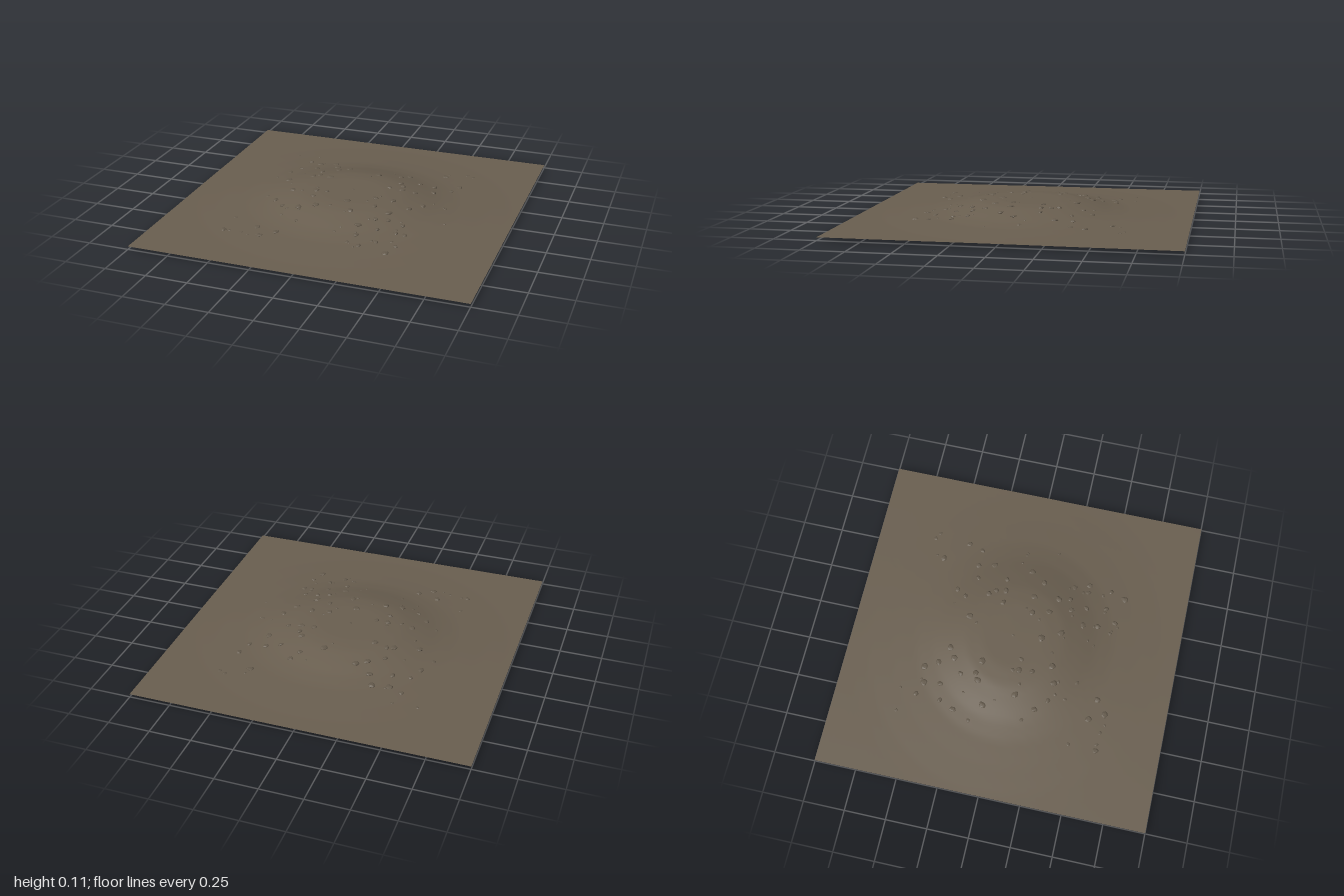
import * as THREE from 'three';

// Mound height profile: [radius, height]
const PROFILE = [[0, 0.115], [0.2, 0.114], [0.3, 0.106], [0.4, 0.085], [0.5, 0.061],
  [0.6, 0.046], [0.75, 0.037], [0.9, 0.031], [1.0, 0.03]];

function groundHeight(x, z) {
  const r = Math.hypot(x * 0.92, z);
  for (let i = 1; i < PROFILE.length; i++) {
    const [r0, h0] = PROFILE[i - 1], [r1, h1] = PROFILE[i];
    if (r < r1) return h0 + (h1 - h0) * (r - r0) / (r1 - r0);
  }
  return 0.03;
}

// Larger stones showing through the soil: x, z pairs
const STONES = [
  -0.47, -0.51, -0.39, -0.48, -0.29, -0.50, -0.38, -0.38, -0.48, -0.36, -0.25, -0.42,
  -0.52, -0.27, -0.30, -0.27, -0.21, -0.33, -0.15, -0.37, -0.28, -0.18, -0.32, -0.16,
  -0.20, -0.16, -0.46, -0.10, -0.21, 0.07, -0.36, 0.08, -0.20, 0.15, -0.42, 0.21,
  -0.14, 0.26, -0.24, 0.29, -0.14, 0.07, -0.35, 0.28, 0.07, -0.30, 0.20, -0.36,
  0.24, -0.42, 0.34, -0.31, 0.43, -0.33, 0.54, -0.33, 0.57, -0.42, 0.44, -0.56,
  0.24, -0.22, 0.27, -0.18, 0.28, -0.12, 0.36, -0.13, 0.45, -0.23, 0.20, -0.12,
  0.17, 0.07, 0.28, 0.06, 0.39, 0.10, 0.45, 0.01, 0.20, 0.17, 0.30, 0.21,
  0.25, 0.30, 0.32, 0.28, 0.41, 0.29, 0.17, 0.39, 0.29, 0.39, 0.40, 0.38,
  0.45, 0.38, 0.32, 0.51, 0.44, 0.52, 0.19, 0.48, 0.24, 0.58, 0.41, 0.61,
  0.08, 0.27, 0.02, 0.16, -0.40, 0.54, -0.58, 0.62, -0.35, 0.63, -0.27, 0.57,
];

function makeRandom(seed) {
  return () => {
    seed = (seed * 16807) % 2147483647;
    return seed / 2147483647;
  };
}

// Irregular pebble with a bumpy outline
function stoneGeometry(seed) {
  const geo = new THREE.IcosahedronGeometry(1, 1);
  const p = geo.attributes.position;
  const v = new THREE.Vector3();
  for (let i = 0; i < p.count; i++) {
    v.fromBufferAttribute(p, i);
    v.multiplyScalar(1 + 0.15 * Math.sin(v.x * 3 + seed) * Math.cos(v.z * 4 + v.y * 2 + seed));
    p.setXYZ(i, v.x, v.y, v.z);
  }
  geo.computeVertexNormals();
  return geo;
}

export function createModel() {
  const model = new THREE.Group();
  const soil = new THREE.MeshStandardMaterial({ color: 0x6a5f50, side: THREE.DoubleSide });
  soil.name = 'brown soil';
  const rock = new THREE.MeshStandardMaterial({ color: 0x655b4d });
  rock.name = 'brown stone';

  // Ground sheet raised into a low mound
  const sheet = new THREE.PlaneGeometry(2, 2, 64, 64).rotateX(-Math.PI / 2);
  const p = sheet.attributes.position;
  for (let i = 0; i < p.count; i++) p.setY(i, groundHeight(p.getX(i), p.getZ(i)));
  sheet.computeVertexNormals();
  const mound = new THREE.Mesh(sheet, soil);
  mound.name = 'mound';
  model.add(mound);

  const random = makeRandom(41);
  const shapes = [1, 2.3, 4.1, 5.6].map(stoneGeometry);
  const stones = new THREE.Group();
  stones.name = 'stones';
  model.add(stones);

  function addStone(x, y, z, size, height) {
    const stone = new THREE.Mesh(shapes[stones.children.length % shapes.length], rock);
    stone.name = 'stone';
    stone.position.set(x, y, z);
    stone.rotation.y = random() * Math.PI * 2;
    stone.scale.set(size, height, size * (0.7 + 0.25 * random()));
    stones.add(stone);
  }

  // Half-buried stones
  for (let i = 0; i < STONES.length; i += 2) {
    const x = STONES[i], z = STONES[i + 1];
    addStone(x, groundHeight(x, z) - 0.002, z, 0.017 + 0.007 * random(), 0.009);
  }

  // Small pebbles barely breaking the surface
  for (let i = 0; i < 45; i++) {
    const x = (random() - 0.5) * 1.25, z = (random() - 0.5) * 1.3;
    addStone(x, groundHeight(x, z) - 0.003, z, 0.009 + 0.006 * random(), 0.006);
  }

  // Loose stones lying below the sheet's outer slope
  for (let i = 0; i < 14; i++) {
    const a = i * 2.4, r = 0.62 + 0.13 * random();
    addStone(Math.cos(a) * r, 0.019, Math.sin(a) * r, 0.017, 0.007);
  }
  return model;
}
